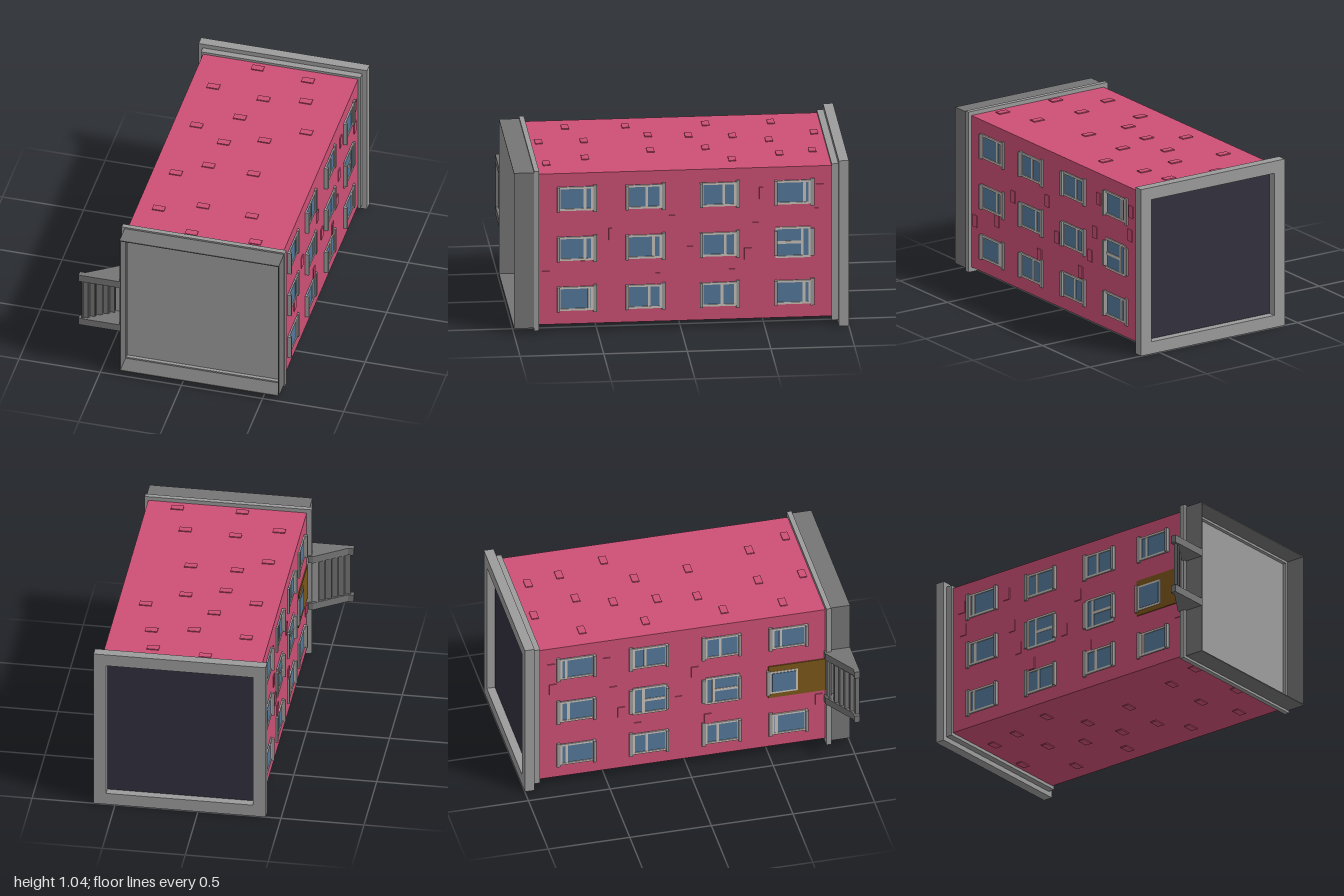
import * as THREE from 'three';

const mat = (name, color) => {
  const m = new THREE.MeshStandardMaterial({ color });
  m.name = name;
  return m;
};

export function createModel() {
  const wallPink = mat('wall pink', 0xcd5076);
  const concrete = mat('concrete grey', 0x9c9c9c);
  const darkConcrete = mat('dark concrete', 0x757575);
  const frameLight = mat('window frame', 0xc9c2ba);
  const glass = mat('window glass', 0x54789a);
  const roofDark = mat('roof felt', 0x32303e);
  const wood = mat('door wood', 0x7c5619);

  const model = new THREE.Group();
  model.name = 'apartmentBlock';

  // Box from minimum and maximum corners
  function box(name, material, x0, x1, y0, y1, z0, z1, parent = model) {
    const mesh = new THREE.Mesh(
      new THREE.BoxGeometry(Math.abs(x1 - x0), y1 - y0, z1 - z0), material);
    mesh.position.set((x0 + x1) / 2, (y0 + y1) / 2, (z0 + z1) / 2);
    mesh.name = name;
    parent.add(mesh);
    return mesh;
  }

  // Rectangular ring, open along z
  function ring(name, material, x0, x1, y0, y1, z0, z1, wall) {
    const rect = (P, a, b, c, d) => {
      const p = new P();
      p.moveTo(a, c);
      p.lineTo(b, c);
      p.lineTo(b, d);
      p.lineTo(a, d);
      p.closePath();
      return p;
    };
    const shape = rect(THREE.Shape, x0, x1, y0, y1);
    shape.holes.push(rect(THREE.Path, x0 + wall, x1 - wall, y0 + wall, y1 - wall));
    const geo = new THREE.ExtrudeGeometry(shape, { depth: z1 - z0, bevelEnabled: false });
    geo.translate(0, 0, z0);
    const mesh = new THREE.Mesh(geo, material);
    mesh.name = name;
    model.add(mesh);
  }

  // Body, base and roof; the block lies with its base towards +z
  box('walls', wallPink, -0.37, 0.585, 0.05, 1.0, -0.9, 0.85);
  ring('baseTrim', concrete, -0.4, 0.607, 0.02, 1.025, 0.85, 0.88, 0.03);
  ring('base', darkConcrete, -0.382, 0.6, 0.035, 1.015, 0.86, 1.0, 0.006);
  box('baseFloor', concrete, -0.377, 0.595, 0.04, 1.01, 0.85, 0.858);
  box('corniceStep', concrete, -0.383, 0.6, 0.03, 1.015, -0.945, -0.9);
  ring('parapet', concrete, -0.408, 0.63, 0.0, 1.043, -1.0, -0.94, 0.076);
  box('roof', roofDark, -0.332, 0.554, 0.076, 0.967, -0.95, -0.943);

  // Position on a long wall, measured outwards
  const out = (side, d) => (side > 0 ? 0.585 + d : -0.37 - d);
  function wallBox(name, material, side, d, y0, y1, z0, z1, parent) {
    const a = out(side, -0.002), b = out(side, d);
    return box(name, material, Math.min(a, b), Math.max(a, b), y0, y1, z0, z1, parent);
  }

  // Windows: split is the mullion position along z
  function addWindow(side, y, z, split, tall) {
    const g = new THREE.Group();
    g.name = 'window';
    model.add(g);
    const h = tall ? 0.097 : 0.075, r = 0.105, w = 0.013;
    wallBox('glass', glass, side, 0.003, y - h, y + h, z - r, z + r, g);
    for (const s of [-1, 1]) {
      const fy = y + s * (h - w / 2), fz = z + s * (r - w / 2);
      wallBox('frameSide', frameLight, side, 0.008, fy - w / 2, fy + w / 2, z - r, z + r, g);
      wallBox('frameEnd', frameLight, side, 0.008, y - h + w, y + h - w, fz - w / 2, fz + w / 2, g);
    }
    wallBox('mullion', frameLight, side, 0.007, y - h + w, y + h - w, split - 0.008, split + 0.008, g);
    if (tall) wallBox('crossBar', frameLight, side, 0.006, y - 0.009, y + 0.009, split, z + r - w, g);
    wallBox('sill', concrete, side, 0.024, y - 0.077, y + 0.077, z + 0.096, z + 0.112, g);
    wallBox('lintel', concrete, side, 0.012, y - 0.085, y + 0.085, z - 0.127, z - 0.105, g);
  }

  const rows = [0.84, 0.525, 0.21];
  const cols = [0.63, 0.22, -0.225, -0.67];
  const splits = [
    [0.575, 0.205, -0.255, -0.738],
    [0.575, 0.165, -0.265, -0.725],
    [0.55, 0.19, -0.245, -0.735],
  ];
  rows.forEach((y, i) => cols.forEach((z, j) => {
    addWindow(1, y, z, splits[i][j], i === 1 && j === 3);
    const isDoor = i === 1 && j === 0;
    if (!isDoor) addWindow(-1, y, z, splits[i][j], i === 1 && (j === 1 || j === 2));
  }));

  // Entrance door with a glazed upper panel
  wallBox('door', wood, -1, 0.006, 0.41, 0.64, 0.5, 0.85);
  wallBox('doorWindowFrame', frameLight, -1, 0.008, 0.44, 0.6, 0.51, 0.68);
  wallBox('doorWindow', glass, -1, 0.011, 0.453, 0.587, 0.523, 0.667);
  wallBox('doorLintel', concrete, -1, 0.014, 0.43, 0.61, 0.49, 0.51);

  // Slightly raised bricks, [x, z] on the top and bottom
  const topBricks = [
    [-0.23, -0.61], [-0.02, -0.85], [0.09, -0.57], [0.3, -0.81], [0.34, -0.61], [-0.23, -0.22],
    [0, -0.36], [-0.03, -0.1], [0.2, -0.18], [0.42, -0.32], [-0.23, 0.26], [-0.06, 0.14],
    [0.22, 0.15], [-0.24, 0.62], [0.01, 0.53], [0.315, 0.55], [0.4, 0.79], [0.01, 0.8],
  ];
  for (const [x, z] of topBricks) {
    box('topBrick', wallPink, x - 0.037, x + 0.037, 0.99, 1.006, z - 0.022, z + 0.022);
    const bx = 0.215 - x;
    box('bottomBrick', wallPink, bx - 0.037, bx + 0.037, 0.044, 0.06, z - 0.022, z + 0.022);
  }
  // Raised bricks, [y, z] on the long walls
  const sideBricks = [
    [0.41, 0.58], [0.61, 0.41], [0.68, 0.05], [0.48, -0.05], [0.32, 0.13], [0.84, -0.49],
    [0.62, -0.45], [0.46, -0.4], [0.85, -0.83], [0.35, 0.81], [0.33, -0.3], [0.7, -0.82],
  ];
  for (const side of [1, -1]) for (const [y, z] of sideBricks) {
    if (side < 0 && z > 0.4 && y > 0.36) continue;
    wallBox('sideBrick', wallPink, side, 0.006, y - 0.037, y + 0.037, z - 0.022, z + 0.022);
  }

  // Entrance stairs: side walls from one profile in x and z
  const profile = [[-0.38, 0.84], [-0.41, 0.84], [-0.6, 0.965], [-0.635, 0.965], [-0.635, 1], [-0.38, 1]];
  const stairShape = new THREE.Shape(profile.map(([x, z]) => new THREE.Vector2(x, z)));
  for (const top of [0.38, 0.705]) {
    const geo = new THREE.ExtrudeGeometry(stairShape, { depth: 0.047, bevelEnabled: false });
    geo.rotateX(Math.PI / 2);
    const cheek = new THREE.Mesh(geo, darkConcrete);
    cheek.position.y = top;
    cheek.name = 'stairSideWall';
    model.add(cheek);
  }
  // Treads, risers and landing
  for (let i = 0; i < 5; i++) {
    const x = -0.615 + i * 0.035, z = 0.975 - i * 0.023;
    box('tread', darkConcrete, x, x + 0.035, 0.378, 0.66, z, z + 0.008);
    box('riser', darkConcrete, x, x + 0.006, 0.378, 0.66, z, z + 0.025);
  }
  box('landing', concrete, -0.44, -0.372, 0.378, 0.66, 0.858, 0.87);

  return model;
}
